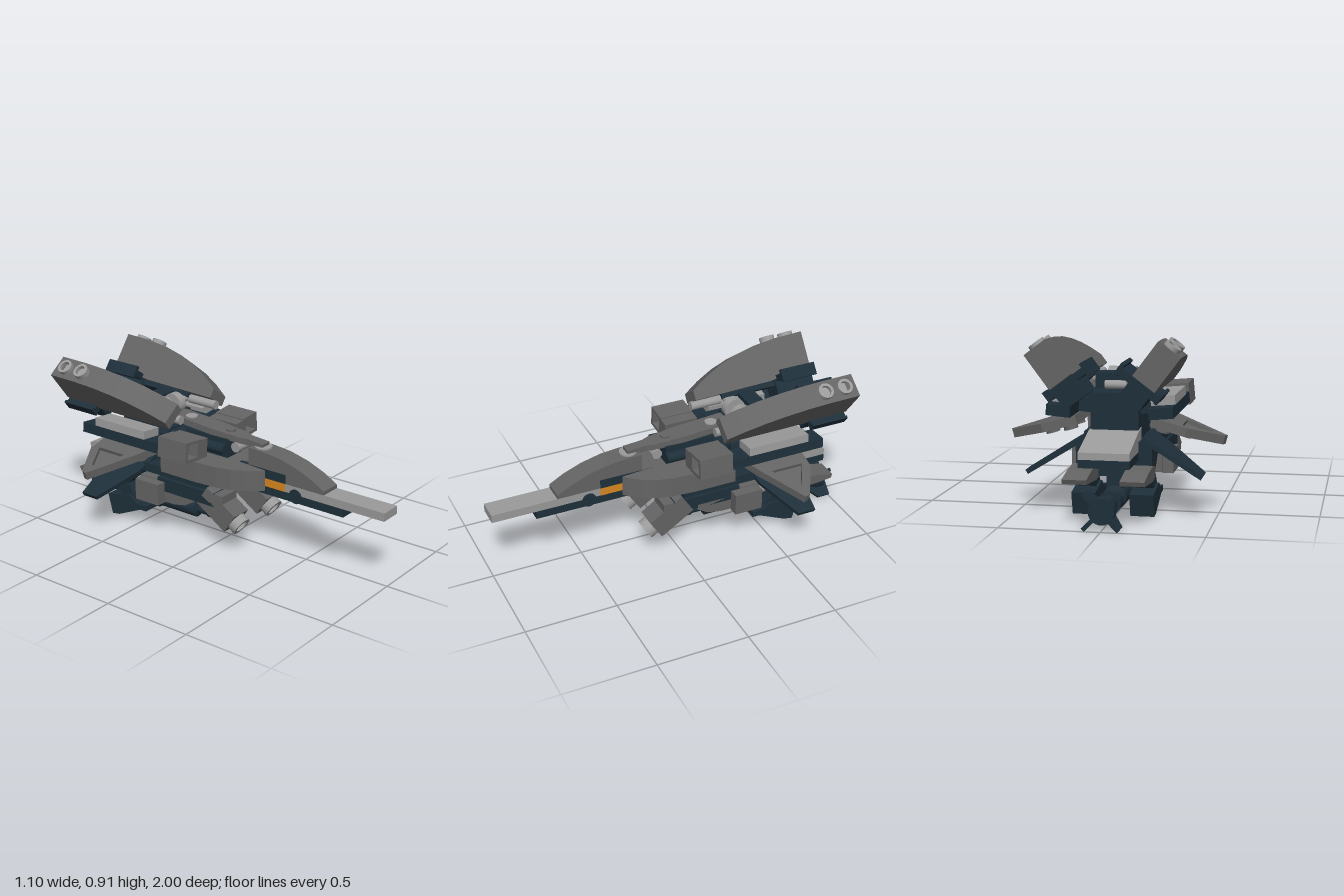
import * as THREE from 'three';

const mat = (color) => new THREE.MeshStandardMaterial({ color, side: THREE.DoubleSide });
const GREY = mat(0x646464), NAVY = mat(0x1e2f3a), LIGHT = mat(0x9a9a9a), ORANGE = mat(0xd9861e);

function add(parent, name, geometry, material) {
  const mesh = new THREE.Mesh(geometry, material);
  mesh.name = name;
  parent.add(mesh);
  return mesh;
}

// Box given by its extents on each axis
function box(parent, name, material, [x0, x1], [y0, y1], [z0, z1]) {
  const mesh = add(parent, name, new THREE.BoxGeometry(x1 - x0, y1 - y0, z1 - z0), material);
  mesh.position.set((x0 + x1) / 2, (y0 + y1) / 2, (z0 + z1) / 2);
  return mesh;
}

// Cylinder centred at a point, along axis x, y or z
function rod(parent, name, material, [x, y, z], radius, length, axis = 'y') {
  const g = new THREE.CylinderGeometry(radius, radius, length, 24);
  if (axis === 'x') g.rotateZ(Math.PI / 2);
  if (axis === 'z') g.rotateX(Math.PI / 2);
  const mesh = add(parent, name, g, material);
  mesh.position.set(x, y, z);
  return mesh;
}

const options = (depth) => ({ depth, bevelEnabled: false });
const vectors = (points) => points.map((p) => new THREE.Vector2(...p));

// Side outline of [z, y] points, extruded from x0 to x1
function profile(parent, name, material, points, x0, x1) {
  const shape = new THREE.Shape(points.map(([z, y]) => new THREE.Vector2(-z, y)));
  const g = new THREE.ExtrudeGeometry(shape, options(x1 - x0)).rotateY(Math.PI / 2).translate(x0, 0, 0);
  return add(parent, name, g, material);
}

// Top outline of [x, z] points, extruded from y0 to y1
function plan(parent, name, material, points, y0, y1, hole) {
  const flip = (list) => vectors(list.map(([x, z]) => [x, -z]));
  const shape = new THREE.Shape(flip(points));
  if (hole) shape.holes.push(new THREE.Path(flip(hole)));
  const g = new THREE.ExtrudeGeometry(shape, options(y1 - y0)).rotateX(-Math.PI / 2).translate(0, y0, 0);
  return add(parent, name, g, material);
}

// Group turned about a lengthwise axis
function tilted(parent, name, x, y, angle, z = 0) {
  const group = new THREE.Group();
  group.name = name;
  group.position.set(x, y, z);
  group.rotation.z = angle;
  parent.add(group);
  return group;
}

// Lathe with crisp rings
function turned(parent, name, material, points) {
  const g = new THREE.LatheGeometry(vectors(points), 24).toNonIndexed();
  g.computeVertexNormals();
  return add(parent, name, g, material);
}

// Hollow connector stud
function stud(parent, [x, y, z], r, height) {
  const mesh = turned(parent, 'stud', LIGHT,
    [[0, 0], [r, 0], [r, height], [r * 0.65, height], [r * 0.65, height * 0.3], [0, height * 0.3]]);
  mesh.position.set(x, y, z);
  return mesh;
}

// Reflected copy in x, with corner order kept outward
function mirrored(source, name) {
  const copy = new THREE.Group();
  copy.name = name;
  source.updateMatrixWorld(true);
  source.traverse((o) => {
    if (!o.isMesh) return;
    const g = o.geometry.index ? o.geometry.toNonIndexed() : o.geometry.clone();
    g.applyMatrix4(o.matrixWorld);
    for (const key of ['position', 'normal']) {
      const a = g.attributes[key], v = new THREE.Vector3(), w = new THREE.Vector3();
      for (let i = 0; i < a.count; i++) a.setX(i, -a.getX(i));
      for (let i = 0; i < a.count; i += 3) {
        v.fromBufferAttribute(a, i + 1);
        w.fromBufferAttribute(a, i + 2);
        a.setXYZ(i + 1, w.x, w.y, w.z);
        a.setXYZ(i + 2, v.x, v.y, v.z);
      }
    }
    add(copy, o.name, g, o.material);
  });
  return copy;
}

function buildCentre(root) {
  // Long nose
  box(root, 'noseBlade', LIGHT, [-0.06, 0.06], [0.385, 0.43], [0.4, 1]);
  profile(root, 'noseSlope', GREY, [[0.64, 0.43], [0.64, 0.45], [0.56, 0.495], [0.46, 0.535], [0.35, 0.562],
    [0.25, 0.572], [0.16, 0.575], [0.16, 0.48], [0.4, 0.48], [0.4, 0.43]], -0.06, 0.06);
  box(root, 'noseKeel', NAVY, [-0.06, 0.06], [0.34, 0.385], [0.16, 0.76]);
  rod(root, 'keelHinge', NAVY, [0, 0.375, 0.465], 0.04, 0.124, 'x');
  box(root, 'noseBand', NAVY, [-0.062, 0.062], [0.43, 0.48], [0.1, 0.4]);
  box(root, 'marker', ORANGE, [-0.062, 0.062], [0.385, 0.43], [0.27, 0.4]);
  rod(root, 'neckPost', LIGHT, [0, 0.53, 0.215], 0.048, 0.1);
  // Tapered spine over the fuselage
  const spine = tilted(root, 'spine', 0, 0.6, 0);
  spine.rotation.x = 0.075;
  plan(spine, 'spinePlate', GREY, [[-0.058, -0.36], [0.058, -0.36], [0.058, -0.1], [0.045, 0.08], [0.03, 0.12], [0.03, 0.23],
    [-0.03, 0.23], [-0.03, 0.12], [-0.045, 0.08], [-0.058, -0.1]], -0.02, 0.015);
  rod(root, 'spineCap', LIGHT, [0, 0.62, -0.27], 0.033, 0.04);
  rod(root, 'spinePin', GREY, [0, 0.61, 0.0], 0.025, 0.03);
  rod(root, 'crossBar', LIGHT, [0, 0.55, 0.07], 0.028, 0.11, 'x');
  // Core of the body
  box(root, 'fuselage', GREY, [-0.06, 0.06], [0.38, 0.48], [-0.4, 0.16]);
  box(root, 'upperFuselage', NAVY, [-0.06, 0.06], [0.48, 0.585], [-0.4, 0.02]);
  box(root, 'bellyPlate', NAVY, [-0.2, 0.2], [0.335, 0.385], [-0.45, -0.02]);
  box(root, 'core', NAVY, [-0.12, 0.12], [0.36, 0.6], [-0.66, -0.3]);
  box(root, 'shoulderBlock', NAVY, [-0.11, 0.11], [0.59, 0.705], [-0.58, -0.49]);
  box(root, 'shoulderPlate', NAVY, [-0.12, 0.12], [0.59, 0.625], [-0.72, -0.38]);
  rod(root, 'shoulderAxle', LIGHT, [0, 0.66, -0.44], 0.022, 0.3, 'x');
  rod(root, 'rearAxle', LIGHT, [0, 0.65, -0.61], 0.022, 0.11, 'x');
  // Tail slope
  profile(root, 'tailSlope', LIGHT, [[-0.6, 0.44], [-0.68, 0.43], [-0.92, 0.365], [-0.92, 0.33], [-0.6, 0.33]], -0.125, 0.125);
  box(root, 'tailPlate', NAVY, [-0.125, 0.125], [0.29, 0.33], [-0.92, -0.5]);
  box(root, 'pelvis', NAVY, [-0.1, 0.1], [0.2, 0.36], [-0.66, -0.4]);
  rod(root, 'pelvisPost', LIGHT, [0, 0.27, -0.1], 0.022, 0.16);
  rod(root, 'pelvisBar', LIGHT, [0, 0.215, -0.1], 0.03, 0.12, 'x');
  box(root, 'pelvisBeam', LIGHT, [-0.02, 0.02], [0.19, 0.24], [-0.45, -0.1]);
}

function buildCannon(root) {
  const gun = tilted(root, 'cannon', 0, 0.095, 0);
  const outline = [[0, -0.05], [0.028, -0.05], [0.028, -0.15], [0.022, -0.15], [0.022, -0.22], [0.048, -0.23], [0.048, -0.48],
    [0.06, -0.5], [0.06, -0.66], [0.045, -0.68], [0.045, -0.75], [0.058, -0.75], [0.058, -0.79], [0.042, -0.79],
    [0.042, -0.88], [0.065, -0.93], [0.065, -0.98], [0, -0.98]];
  turned(gun, 'barrel', NAVY, outline.map(([r, z]) => [r, -z])).rotation.x = -Math.PI / 2;
  for (let i = 0; i < 4; i++) {
    const fin = profile(gun, 'cannonFin', NAVY, [[-0.85, 0.035], [-0.93, 0.122], [-1, 0.122], [-1, 0.035]], -0.01, 0.01);
    fin.rotation.z = Math.PI / 4 + (i * Math.PI) / 2;
  }
  box(root, 'cannonMount', NAVY, [-0.04, 0.04], [0.13, 0.24], [-0.66, -0.48]);
}

function buildSide() {
  const side = new THREE.Group();
  side.name = 'leftSide';

  // Curved cheek fairing
  plan(side, 'cheekFairing', GREY, [[0.06, -0.32], [0.06, 0.12], [0.075, 0.28], [0.1, 0.26], [0.145, 0.2], [0.18, 0.13],
    [0.2, 0.05], [0.21, -0.08], [0.21, -0.32]], 0.365, 0.48);
  rod(side, 'spineRail', NAVY, [0.1, 0.545, -0.14], 0.03, 0.36, 'z');
  rod(side, 'railJoint', NAVY, [0.11, 0.555, -0.285], 0.038, 0.1, 'x');

  // Shoulder arm with square socket
  const arm = tilted(side, 'arm', 0.22, 0.555, 0.09);
  const face = new THREE.Shape(vectors([[-0.03, -0.058], [0.09, -0.058], [0.09, 0.055], [-0.03, 0.055]]));
  face.holes.push(new THREE.Path(vectors([[-0.01, -0.04], [-0.01, 0.04], [0.07, 0.04], [0.07, -0.04]])));
  add(arm, 'socket', new THREE.ExtrudeGeometry(face, options(0.19)).translate(0, 0, -0.25), GREY);
  box(arm, 'socketBack', GREY, [-0.02, 0.08], [-0.05, 0.05], [-0.24, -0.12]);
  box(arm, 'armInner', GREY, [-0.09, -0.03], [-0.055, 0.05], [-0.25, -0.06]);
  box(arm, 'armBeam', NAVY, [-0.03, 0.09], [-0.045, 0.01], [-0.79, -0.25]);
  box(arm, 'armTile', LIGHT, [-0.03, 0.09], [0.01, 0.055], [-0.7, -0.35]);
  box(arm, 'armLink', NAVY, [-0.12, -0.03], [-0.04, 0.03], [-0.6, -0.3]);

  // Swept side wing with cutout and underside studs
  const wing = tilted(side, 'sideWing', 0.22, 0.497, -0.27);
  plan(wing, 'wingPanel', GREY, [[-0.03, -0.34], [0.1, -0.41], [0.34, -0.56], [0.33, -0.59], [0.15, -0.69], [-0.03, -0.69]], -0.045, 0,
    [[0.12, -0.47], [0.27, -0.56], [0.26, -0.58], [0.12, -0.65]]);
  plan(wing, 'wingWeb', GREY, [[0.11, -0.46], [0.28, -0.56], [0.27, -0.59], [0.11, -0.66]], -0.038, -0.02);
  for (const [x, z] of [[0.03, -0.44], [0.03, -0.6], [0.14, -0.54]]) rod(wing, 'wingStud', GREY, [x, -0.053, z], 0.036, 0.035);

  // Downswept fin
  const fin = tilted(side, 'lowerFin', 0.18, 0.385, -0.55);
  plan(fin, 'finBlade', NAVY, [[-0.04, -0.42], [0.08, -0.45], [0.31, -0.59], [0.31, -0.69], [-0.04, -0.68]], -0.024, 0);

  // Raised pod with curved back
  const pod = tilted(side, 'pod', 0.18, 0.68, -0.644);
  profile(pod, 'podShell', GREY, [[-0.24, -0.01], [-0.24, 0.045], [-0.33, 0.1], [-0.43, 0.148], [-0.54, 0.185], [-0.66, 0.212],
    [-0.79, 0.227], [-0.96, 0.233], [-0.96, 0.03], [-0.7, 0]], -0.065, 0.065);
  for (const z of [-0.775, -0.89]) stud(pod, [0, 0.222, z], 0.042, 0.03);
  box(pod, 'podPlate', NAVY, [-0.125, 0.1], [-0.01, 0.025], [-0.95, -0.74]);
  box(pod, 'podEdge', NAVY, [-0.142, -0.122], [-0.025, 0.045], [-0.95, -0.74]);
  box(pod, 'podOuterEdge', NAVY, [0.09, 0.106], [-0.015, 0.04], [-0.95, -0.74]);
  box(pod, 'podEngine', NAVY, [-0.06, 0.06], [-0.09, 0], [-0.96, -0.73]);
  box(pod, 'podUnderside', NAVY, [-0.05, 0.05], [-0.03, 0], [-0.73, -0.4]);
  rod(side, 'podHinge', LIGHT, [0.048, 0.66, -0.43], 0.06, 0.045, 'x');
  rod(side, 'podPin', LIGHT, [0.15, 0.665, -0.31], 0.024, 0.18, 'z');

  // Lower thigh and plates
  box(side, 'legRail', NAVY, [0.085, 0.205], [0.25, 0.325], [-0.35, 0.04]);
  box(side, 'legBracket', GREY, [0.085, 0.205], [0.275, 0.325], [0.04, 0.1]);
  profile(side, 'thigh', GREY, [[-0.1, 0.27], [-0.1, 0.24], [-0.16, 0.205], [-0.24, 0.19], [-0.47, 0.19], [-0.47, 0.31],
    [-0.35, 0.31], [-0.35, 0.27]], 0.085, 0.205);
  box(side, 'thighGuard', GREY, [0.205, 0.262], [0.185, 0.305], [-0.46, -0.3]);
  add(side, 'legBall', new THREE.SphereGeometry(0.032, 20, 12), LIGHT).position.set(0.145, 0.235, -0.52);

  // Forward thruster angled down
  const thruster = tilted(side, 'thruster', 0.145, 0.262, 0, 0.02);
  thruster.rotation.x = 0.58;
  box(thruster, 'thrusterBody', GREY, [-0.06, 0.06], [-0.065, 0.06], [-0.07, 0.15]);
  stud(thruster, [0, 0, 0.145], 0.056, 0.05).rotation.x = Math.PI / 2;

  // Rear leg, foot and heel fairing
  profile(side, 'shin', NAVY, [[-0.44, 0.38], [-0.68, 0.38], [-0.68, 0.22], [-0.62, 0.13], [-0.52, 0.14], [-0.58, 0.22], [-0.5, 0.3]], 0.1, 0.19);
  profile(side, 'foot', NAVY, [[-0.47, 0.095], [-0.55, 0.155], [-0.72, 0.125], [-0.69, 0.012], [-0.64, 0.02]], 0.085, 0.205);
  box(side, 'footTread', NAVY, [0.085, 0.205], [0.09, 0.12], [-0.6, -0.44]);
  profile(side, 'heelFairing', GREY, [[-0.63, 0.2], [-0.63, 0.255], [-0.7, 0.268], [-0.82, 0.258], [-0.94, 0.235], [-0.93, 0.212], [-0.7, 0.19]], 0.08, 0.2);
  return side;
}

export function createModel() {
  const model = new THREE.Group();
  model.name = 'spacecraft';
  buildCentre(model);
  buildCannon(model);
  const left = buildSide();
  model.add(mirrored(left, 'rightSide'), left);
  return model;
}
